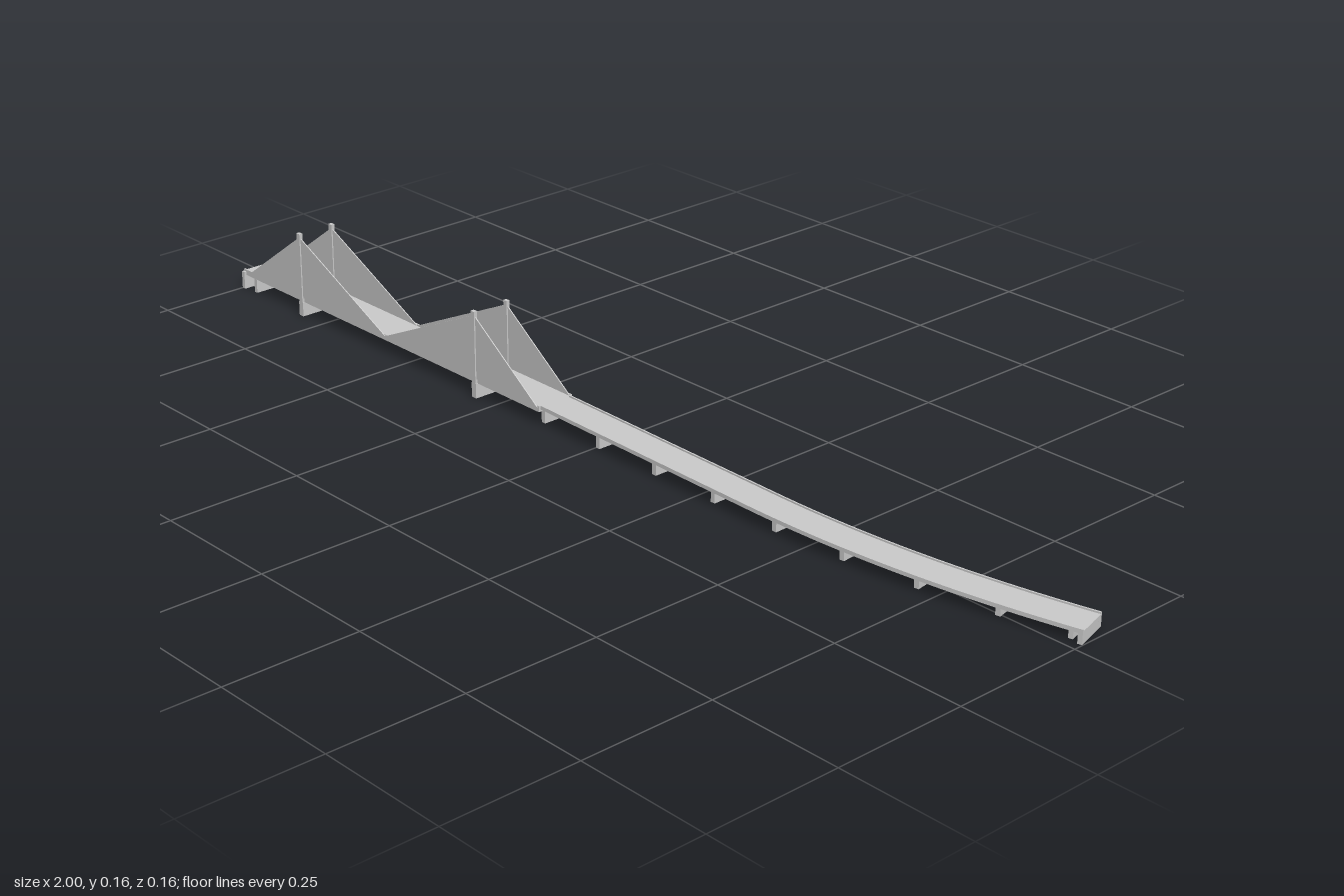
import * as THREE from 'three';

const grey = new THREE.MeshStandardMaterial({ color: 0xcccccc, flatShading: true, side: THREE.DoubleSide });
const RAMP = -0.13, END = 0.99;

// Centre line, its slope and the road height along x
const centre = (x) => 0.035 - 0.23 * Math.max(0, x - 0.38) ** 2;
const slope = (x) => -0.46 * Math.max(0, x - 0.38);
const road = (x) => 0.035 - 0.0125 * Math.max(0, (x - RAMP) / (END - RAMP));

function add(parent, name, geometry) {
  const mesh = new THREE.Mesh(geometry, grey);
  mesh.name = name;
  parent.add(mesh);
  return mesh;
}

// Sweeps a cross-section (across, height above road) along the centre line
function sweep(points, x0, x1, steps) {
  const shape = new THREE.Shape(points.map(([u, v]) => new THREE.Vector2(u, v)));
  const g = new THREE.ExtrudeGeometry(shape, { depth: x1 - x0, steps, bevelEnabled: false });
  const p = g.attributes.position;
  for (let i = 0; i < p.count; i++) {
    const x = x0 + p.getZ(i), s = slope(x), len = Math.hypot(1, s), w = -p.getX(i);
    p.setXYZ(i, x - s * w / len, road(x) + p.getY(i), centre(x) + w / len);
  }
  g.computeVertexNormals();
  return g;
}

// Slab with a raised kerb on both edges
const slab = (h, t, kerb) => [
  [-h, -t], [h, -t], [h, kerb], [h - 0.003, kerb], [h - 0.003, 0],
  [-h + 0.003, 0], [-h + 0.003, kerb], [-h, kerb],
];

// Cross wall standing on the ground, square to the road
function wall(parent, name, x, thick, width, top) {
  const m = add(parent, name, new THREE.BoxGeometry(thick, top, width));
  m.position.set(x, top / 2, centre(x));
  m.rotation.y = Math.atan2(-slope(x), 1);
}

export function createModel() {
  const bridge = new THREE.Group();
  bridge.name = 'cableStayedBridge';

  // Main spans and curved approach viaduct
  add(bridge, 'mainDeck', sweep(slab(0.038, 0.008, 0.003), -1, RAMP, 1));
  add(bridge, 'approachDeck', sweep(slab(0.034, 0.004, 0.003), RAMP, END, 32));

  // Girders under the approach
  for (const u of [-0.024, -0.008, 0.008, 0.024]) {
    add(bridge, 'girder', sweep(
      [[u - 0.002, -0.009], [u + 0.002, -0.009], [u + 0.002, -0.004], [u - 0.002, -0.004]],
      RAMP, END, 32));
  }

  // Two pylon groups: wall pier, a pair of masts and a pair of cable planes
  for (const [x, left, right] of [[-0.81, -0.975, -0.557], [-0.3, -0.557, -0.132]]) {
    const pylon = new THREE.Group();
    pylon.name = 'pylon';
    bridge.add(pylon);
    wall(pylon, 'pylonPier', x, 0.012, 0.086, 0.028);
    for (const side of [-1, 1]) {
      const z = 0.0375 + side * 0.037;
      add(pylon, 'mast', new THREE.BoxGeometry(0.009, 0.164, 0.007)).position.set(x, 0.082, z);
      const fan = new THREE.Shape([
        new THREE.Vector2(left, 0.036), new THREE.Vector2(right, 0.036), new THREE.Vector2(x, 0.156),
      ]);
      const g = new THREE.ExtrudeGeometry(fan, { depth: 0.002, bevelEnabled: false });
      add(pylon, 'cablePlane', g).position.z = z - 0.001;
    }
  }

  // Abutment walls at the straight end
  wall(bridge, 'abutment', -0.996, 0.008, 0.086, 0.034);
  wall(bridge, 'endPier', -0.963, 0.008, 0.076, 0.028);

  // Narrow piers under the approach
  for (let i = 0; i < 8; i++) {
    const x = -0.137 + i * 0.141;
    wall(bridge, 'approachPier', x, 0.009, 0.044, road(x) - 0.006);
  }

  // Abutment at the curved end
  wall(bridge, 'farPier', 0.968, 0.008, 0.05, road(0.968) - 0.006);
  wall(bridge, 'farAbutment', 0.986, 0.008, 0.068, road(0.986));

  return bridge;
}
